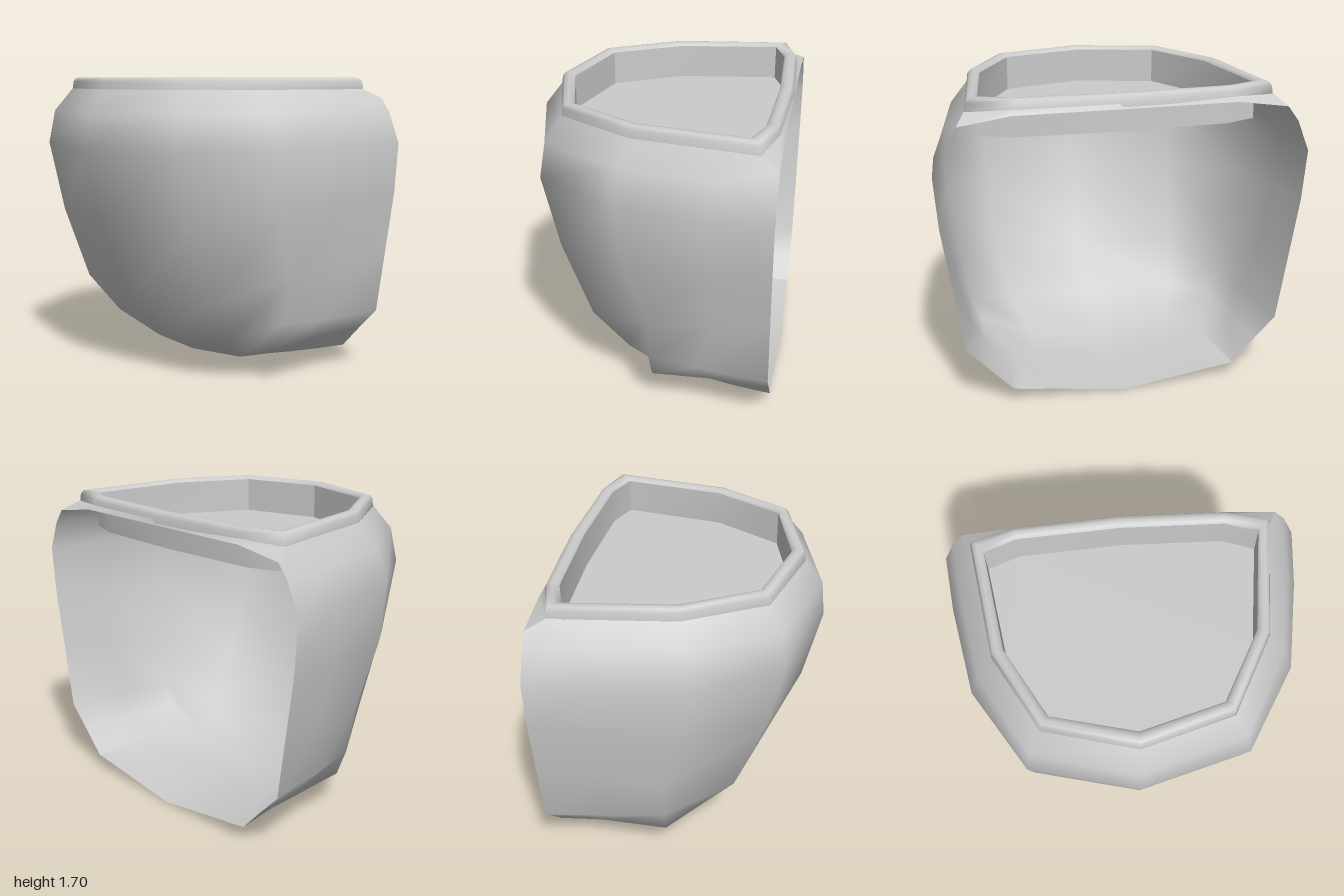
import * as THREE from 'three';
import { toCreasedNormals } from 'three/addons/utils/BufferGeometryUtils.js';

const material = new THREE.MeshStandardMaterial({ color: 0xcccccc, side: THREE.DoubleSide });

// Skin a list of rows (top to bottom, each running towards +x across the front).
function loft(rows, closed = false) {
  const n = rows[0].length, index = [];
  for (let i = 0; i < rows.length - 1; i++) {
    for (let j = 0; j < (closed ? n : n - 1); j++) {
      const a = i * n + j, b = i * n + (j + 1) % n, c = a + n, d = b + n;
      index.push(a, c, b, b, c, d);
    }
  }
  const g = new THREE.BufferGeometry();
  g.setAttribute('position', new THREE.Float32BufferAttribute(rows.flat(2), 3));
  g.setIndex(index);
  g.computeVertexNormals();
  return g;
}

const flip = ([x, ...rest]) => [-x, ...rest];

// Mirror a half row that starts on the centre line.
const mirrorRow = (half) => [...half.slice(1).reverse().map(flip), ...half];

function add(group, name, geometry) {
  const mesh = new THREE.Mesh(geometry, material);
  mesh.name = name;
  group.add(mesh);
}

export function createModel() {
  const group = new THREE.Group();
  group.name = 'wallPlanter';

  // Pouch: half sections as front centre, front corner, side, flank, back edge
  const sections = [
    [[0, 1.63, 0.6], [0.5, 1.63, 0.46], [0.73, 1.63, 0.04], [0.82, 1.63, -0.62], [0.87, 1.58, -0.72]],
    [[0, 1.5, 0.70], [0.57, 1.5, 0.54], [0.82, 1.5, 0.09], [0.9, 1.5, -0.39], [0.93, 1.5, -0.72]],
    [[0, 1.3, 0.72], [0.6, 1.31, 0.565], [0.88, 1.32, 0.11], [0.967, 1.33, -0.39], [1, 1.33, -0.72]],
    [[0, 0.88, 0.62], [0.59, 0.9, 0.47], [0.87, 0.98, 0.07], [0.945, 1.02, -0.4], [0.98, 1.05, -0.72]],
    [[0, 0.44, 0.43], [0.57, 0.47, 0.31], [0.815, 0.6, -0.05], [0.885, 0.68, -0.42], [0.935, 0.75, -0.72]],
    [[0, 0.18, 0.2], [0.51, 0.23, 0.12], [0.77, 0.35, -0.05], [0.81, 0.34, -0.32], [0.875, 0.35, -0.72]],
    [[0, 0.05, -0.06], [0.42, 0.09, -0.06], [0.715, 0.2, -0.06], [0.73, 0.22, -0.42], [0.75, 0.22, -0.72]],
    [[0, 0, -0.32], [0.42, 0.065, -0.32], [0.57, 0.105, -0.34], [0.61, 0.1, -0.52], [0.63, 0.09, -0.72]],
    [[0, 0, -0.72], [0.42, 0.06, -0.72], [0.57, 0.08, -0.72], [0.61, 0.087, -0.72], [0.63, 0.09, -0.72]],
  ];
  add(group, 'pouch', loft(sections.map(mirrorRow)));

  // Rim: rolled lip blended between an outer and an inner outline
  const outer = [[0, 0.595], [0.495, 0.455], [0.725, 0.04], [0.812, -0.62], [0.58, -0.69], [0, -0.715]];
  const inner = [[0, 0.52], [0.45, 0.4], [0.66, 0.02], [0.742, -0.553], [0.565, -0.618], [0, -0.64]];
  const loop = (half) => [...half, ...half.slice(1, -1).reverse().map(flip)];
  const ring = (t, y) => loop(outer.map(([x, z], i) => [
    x + (inner[i][0] - x) * t, y, z + (inner[i][1] - z) * t,
  ]));
  const lip = [[1, 1.675], [0.85, 1.69], [0.5, 1.695], [0.18, 1.69], [0, 1.67], [-0.06, 1.63]];
  add(group, 'rim', loft(lip.map(([t, y]) => ring(t, y)), true));

  // Flange joining the rim to the top of the open back
  const flangeTop = [[0, 1.65, -0.715], [0.58, 1.645, -0.69], [0.82, 1.63, -0.62]];
  const flangeEdge = [[0, 1.62, -0.72], [0.6, 1.62, -0.72], [0.87, 1.58, -0.72]];
  add(group, 'backFlange', loft([mirrorRow(flangeEdge), mirrorRow(flangeTop)]));

  // Shallow tray inside the rim
  const floorY = 1.48;
  const wall = loft([ring(1, floorY), ring(1, 1.675)], true);
  add(group, 'trayWall', toCreasedNormals(wall, 0.45));
  const outline = new THREE.Shape(loop(inner).map(([x, z]) => new THREE.Vector2(x, -z)));
  const floor = new THREE.ShapeGeometry(outline);
  floor.rotateX(-Math.PI / 2);
  floor.translate(0, floorY, 0);
  add(group, 'trayFloor', floor);

  return group;
}
